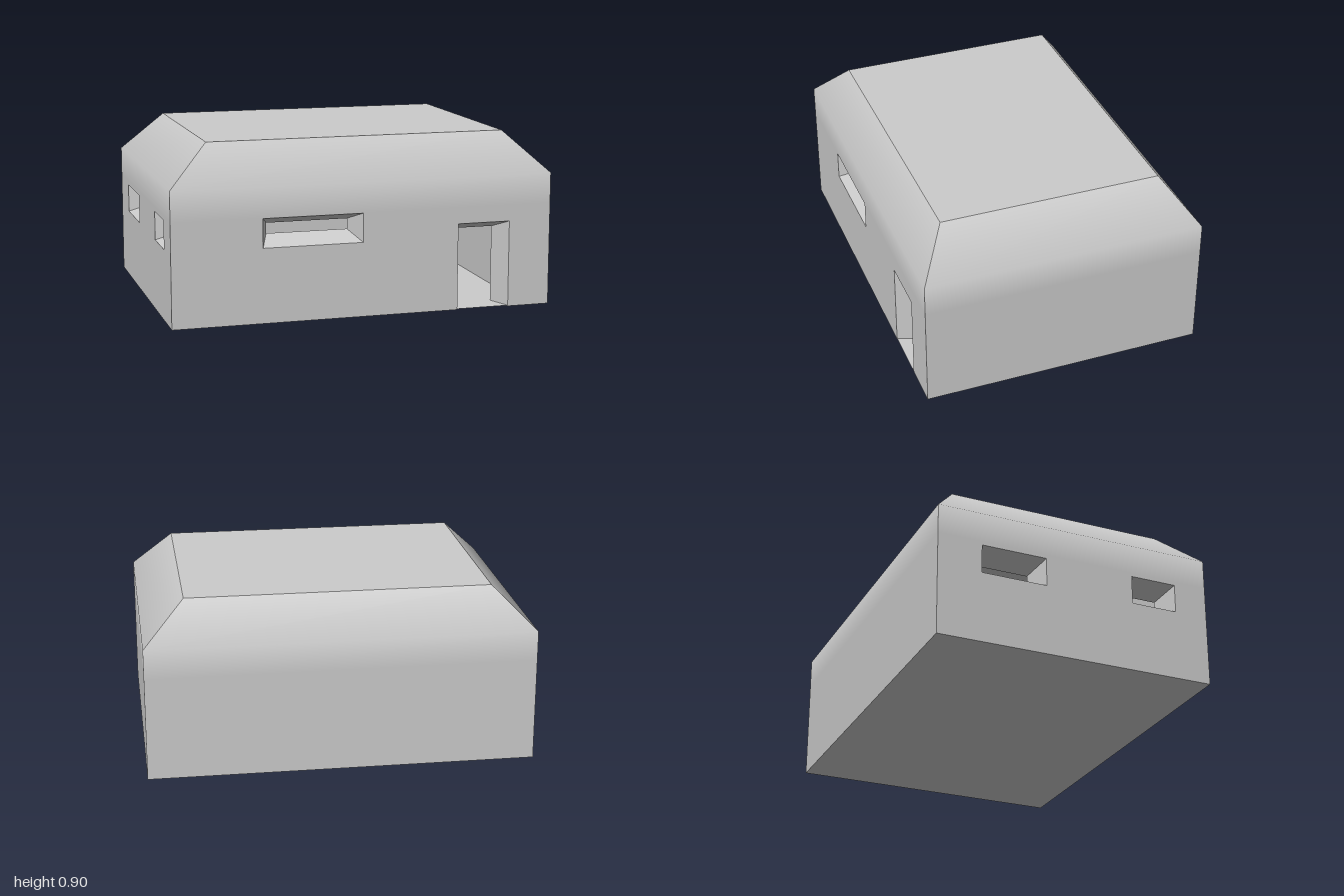
import * as THREE from 'three';

const HALF_X = 1, HALF_Z = 0.737;        // footprint
const TOP_X = 0.785, TOP_Z = 0.58;       // flat roof
const BAND = 0.54, EAVE = 0.695, ROOF = 0.905;
const THICK = 0.13, SPLAY = 0.048, CEILING = 0.7, FLOOR = 0.004;

const material = new THREE.MeshStandardMaterial({ color: 0xcccccc });
const thin = new THREE.MeshStandardMaterial({ color: 0xcccccc, side: THREE.DoubleSide });

function addMesh(parent, name, geometry, mat = material) {
  const mesh = new THREE.Mesh(geometry, mat);
  mesh.name = name;
  parent.add(mesh);
  return mesh;
}

// Strips of quads between rows of two points, with one normal per row
function strip(rows, normals) {
  const geometry = new THREE.BufferGeometry();
  const index = [];
  for (let i = 0; i < rows.length - 1; i++) {
    const a = i * 2;
    index.push(a, a + 1, a + 3, a, a + 3, a + 2);
  }
  geometry.setAttribute('position', new THREE.Float32BufferAttribute(rows.flat(2), 3));
  geometry.setAttribute('normal', new THREE.Float32BufferAttribute(normals.flatMap((n) => [...n, ...n]), 3));
  geometry.setIndex(index);
  return geometry;
}

// Opening rectangle shrunk to its inner end; a door keeps its sill on the ground
function shrink(o) {
  return {
    x0: o.x0 + SPLAY, x1: o.x1 - SPLAY, y1: o.y1 - SPLAY,
    y0: o.door ? 0 : o.y0 + SPLAY, door: o.door,
  };
}

// Flat wall with windows as holes and doors as notches in the bottom edge
function wallGeometry(half, height, openings) {
  const shape = new THREE.Shape();
  shape.moveTo(-half, 0);
  for (const o of openings) {
    if (o.door) {
      shape.lineTo(o.x0, 0).lineTo(o.x0, o.y1).lineTo(o.x1, o.y1).lineTo(o.x1, 0);
    } else {
      const hole = new THREE.Path();
      hole.moveTo(o.x0, o.y0).lineTo(o.x0, o.y1).lineTo(o.x1, o.y1).lineTo(o.x1, o.y0);
      hole.closePath();
      shape.holes.push(hole);
    }
  }
  shape.lineTo(half, 0).lineTo(half, height).lineTo(-half, height);
  shape.closePath();
  return new THREE.ShapeGeometry(shape);
}

// Splayed faces joining the outer and inner rectangles of an opening
function revealGeometry(o, depth) {
  const ring = (r, z) => [[r.x0, r.y0, z], [r.x1, r.y0, z], [r.x1, r.y1, z], [r.x0, r.y1, z]];
  const outer = ring(o, depth), inner = ring(shrink(o), depth - THICK);
  const points = [];
  for (let i = o.door ? 1 : 0; i < 4; i++) {
    const j = (i + 1) % 4;
    points.push(outer[i], outer[j], inner[j], outer[i], inner[j], inner[i]);
  }
  const geometry = new THREE.BufferGeometry();
  geometry.setAttribute('position', new THREE.Float32BufferAttribute(points.flat(), 3));
  geometry.computeVertexNormals();
  return geometry;
}

// One side of the building, made facing +z and then turned into place
function makeSide({ name, turn, half, depth, topHalf, topDepth, openings = [] }) {
  const side = new THREE.Group();
  side.name = name;
  addMesh(side, 'outerWall', wallGeometry(half, BAND, openings)).position.z = depth;
  addMesh(side, 'innerWall', wallGeometry(half - THICK, CEILING, openings.map(shrink)), thin)
    .position.z = depth - THICK;

  // Upper wall runs smoothly into the sloping roof edge
  const flat = new THREE.Vector3(0, 0, 1);
  const slope = new THREE.Vector3(0, depth - topDepth, ROOF - EAVE).normalize();
  const blend = flat.clone().add(slope).normalize();
  const row = (w, y, z) => [[-w, y, z], [w, y, z]];
  addMesh(side, 'slopedEave', strip(
    [row(half, BAND, depth), row(half, EAVE, depth), row(topHalf, ROOF, topDepth)],
    [flat, blend, slope].map((n) => n.toArray())
  ));

  for (const o of openings) {
    addMesh(side, o.door ? 'doorReveal' : 'windowReveal', revealGeometry(o, depth), thin);
  }
  side.rotation.y = turn;
  return side;
}

// Horizontal slab surface, facing up or down
function addLevel(parent, name, halfX, halfZ, y, facing) {
  const mesh = addMesh(parent, name, new THREE.PlaneGeometry(halfX * 2, halfZ * 2));
  mesh.rotation.x = -facing * Math.PI / 2;
  mesh.position.y = y;
}

export function createModel() {
  const model = new THREE.Group();
  model.name = 'bunker';

  const long = { half: HALF_X, depth: HALF_Z, topHalf: TOP_X, topDepth: TOP_Z };
  const short = { half: HALF_Z, depth: HALF_X, topHalf: TOP_Z, topDepth: TOP_X };
  model.add(
    makeSide({
      ...long, name: 'frontSide', turn: 0,
      openings: [
        { x0: -0.535, x1: -0.015, y0: 0.385, y1: 0.535 },
        { x0: 0.495, x1: 0.775, y0: 0, y1: 0.452, door: true },
      ],
    }),
    makeSide({ ...long, name: 'backSide', turn: Math.PI }),
    makeSide({ ...short, name: 'leftSide', turn: Math.PI / 2 }),
    makeSide({
      ...short, name: 'rightSide', turn: -Math.PI / 2,
      openings: [
        { x0: -0.505, x1: -0.16, y0: 0.37, y1: 0.52 },
        { x0: 0.315, x1: 0.56, y0: 0.37, y1: 0.52 },
      ],
    })
  );

  // Roof, underside and the room inside
  addLevel(model, 'roof', TOP_X, TOP_Z, ROOF, 1);
  addLevel(model, 'base', HALF_X, HALF_Z, 0, -1);
  addLevel(model, 'floor', HALF_X, HALF_Z, FLOOR, 1);
  addLevel(model, 'ceiling', HALF_X - THICK, HALF_Z - THICK, CEILING, -1);
  return model;
}
